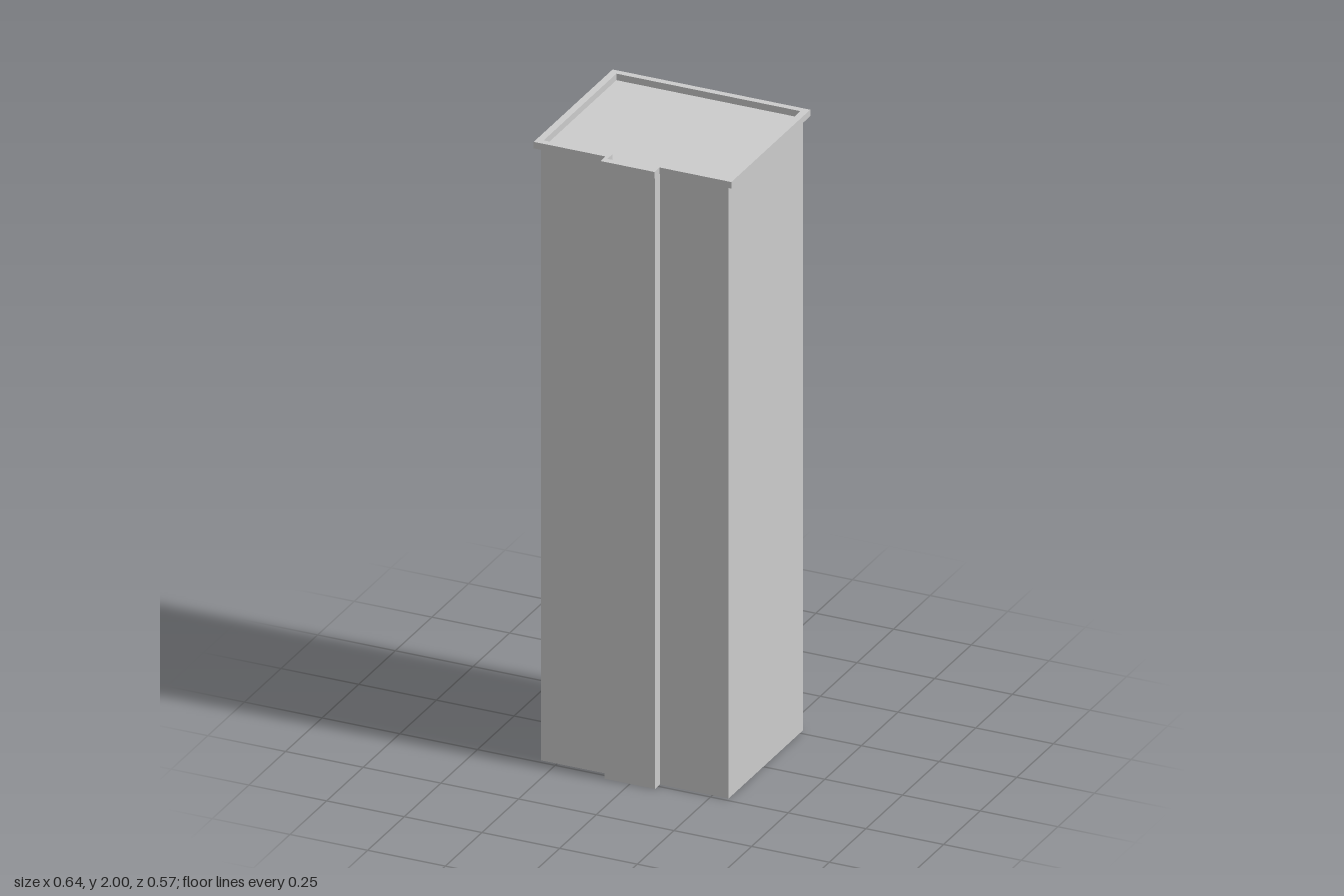
import * as THREE from 'three';

// Rectangular plan with a shallow projecting bay at the front (+z)
function planPoints(halfWidth, back, front, bayHalf, bayFront) {
  return [
    [-halfWidth, back], [-halfWidth, front], [-bayHalf, front], [-bayHalf, bayFront],
    [bayHalf, bayFront], [bayHalf, front], [halfWidth, front], [halfWidth, back],
  ].map(([x, z]) => new THREE.Vector2(x, -z));
}

// Extrude a plan upwards from y0 to y1
function extrudePlan(name, shape, y0, y1, material) {
  const geometry = new THREE.ExtrudeGeometry(shape, { depth: y1 - y0, bevelEnabled: false });
  geometry.rotateX(-Math.PI / 2);
  geometry.translate(0, y0, 0);
  const mesh = new THREE.Mesh(geometry, material);
  mesh.name = name;
  return mesh;
}

export function createModel() {
  const group = new THREE.Group();
  group.name = 'towerBlock';
  const material = new THREE.MeshStandardMaterial({ color: 0xcccccc });
  const roofY = 1.979;

  // Tower walls, with flat roof and base
  const walls = new THREE.Shape(planPoints(0.302, -0.272, 0.237, 0.081, 0.27));
  group.add(extrudePlan('towerWalls', walls, 0, roofY, material));

  // Overhanging parapet around the roof edge
  const rim = new THREE.Shape(planPoints(0.318, -0.287, 0.252, 0.087, 0.286));
  rim.holes.push(new THREE.Path(planPoints(0.296, -0.266, 0.231, 0.075, 0.264)));
  group.add(extrudePlan('roofParapet', rim, roofY, 2, material));

  return group;
}
